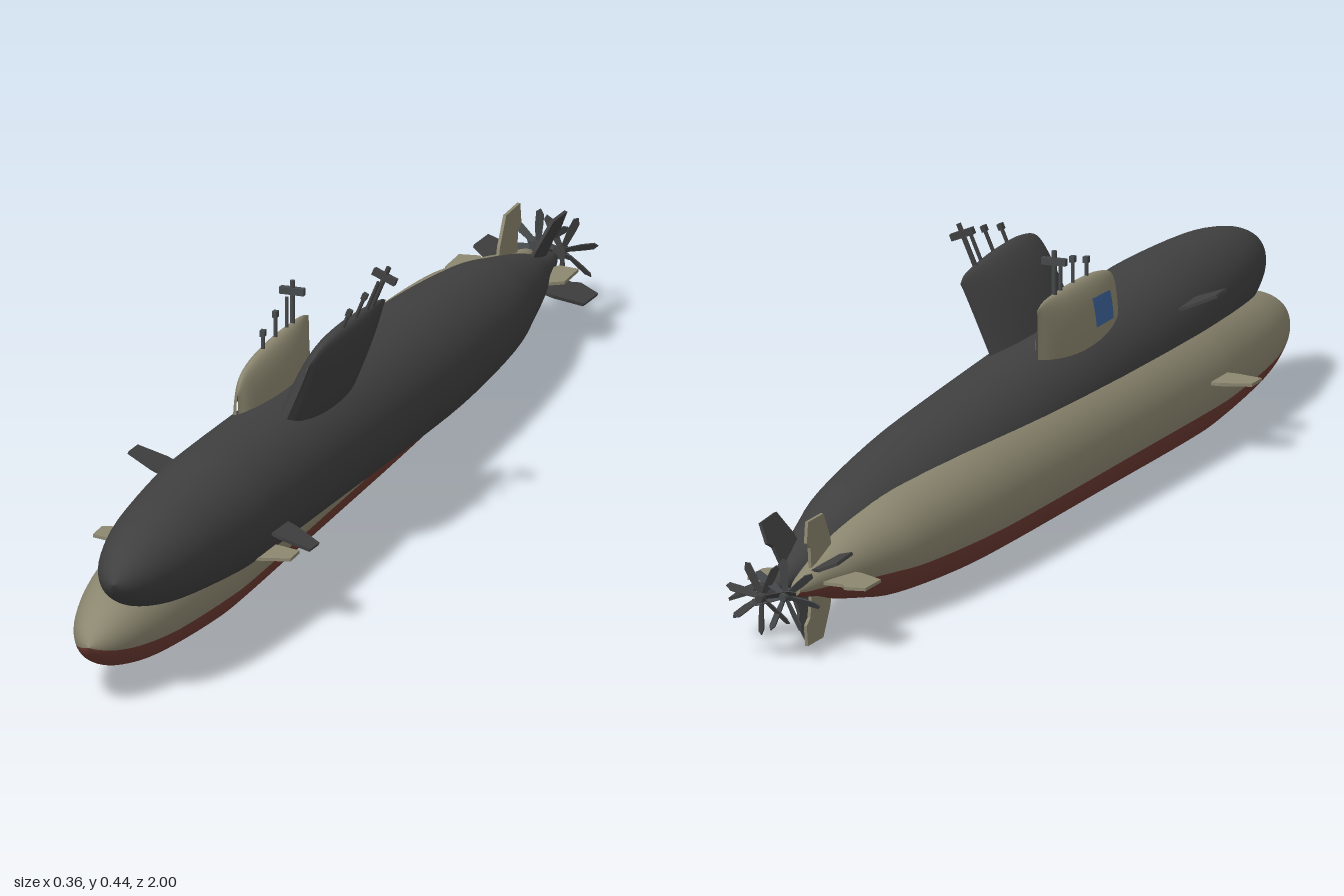
import * as THREE from 'three';

const mat = (name, color, side = THREE.FrontSide) => {
  const m = new THREE.MeshStandardMaterial({ color, side });
  m.name = name;
  return m;
};

// Surface grid from fn(u, v) -> [x, y, z]
function surface(fn, nu, nv) {
  const pos = [], idx = [];
  for (let i = 0; i <= nu; i++)
    for (let j = 0; j <= nv; j++) {
      pos.push(...fn(i / nu, j / nv));
      if (i < nu && j < nv) {
        const a = i * (nv + 1) + j, b = a + nv + 1;
        idx.push(a, a + 1, b, a + 1, b + 1, b);
      }
    }
  const g = new THREE.BufferGeometry();
  g.setAttribute('position', new THREE.Float32BufferAttribute(pos, 3));
  g.setIndex(idx);
  g.computeVertexNormals();
  return g;
}

// Hull radius from stern to bow: [radius, z]
const hullProfile = new THREE.SplineCurve([
  [0.008, -0.945], [0.016, -0.92], [0.028, -0.86], [0.045, -0.8], [0.066, -0.7], [0.083, -0.6],
  [0.097, -0.4], [0.101, -0.2], [0.101, 0.2], [0.101, 0.5], [0.097, 0.62], [0.08, 0.8],
  [0.06, 0.9], [0.04, 0.955], [0.02, 0.985], [0, 1],
].map(([r, z]) => new THREE.Vector2(r, z))).getPoints(60)
  .map((p) => new THREE.Vector2(Math.max(p.x, 0), p.y));

// Angle zero is the keel
const hullPart = (start, length) =>
  new THREE.LatheGeometry(hullProfile, 36, start, length).rotateX(Math.PI / 2);

// Sail stations: half width, top height, z
const sailLine = new THREE.CatmullRomCurve3([
  [0.002, 0.195, 0.343], [0.015, 0.218, 0.325], [0.025, 0.23, 0.28], [0.03, 0.235, 0.2],
  [0.025, 0.234, 0.11], [0.013, 0.23, 0.055], [0.002, 0.222, 0.03],
].map((p) => new THREE.Vector3(...p)));
const SAIL_BASE = 0.07;
function sailPoint(u, t, offset = 0) {
  const s = sailLine.getPoint(u), a = t * Math.PI / 2;
  const rise = Math.pow(Math.max(Math.cos(a), 0), 0.6);
  return [(s.x + offset) * Math.sin(a), SAIL_BASE + (s.y - SAIL_BASE) * rise, s.z];
}

// Thin fin lying flat, from [span, z] corners
function finGeometry(corners) {
  const shape = new THREE.Shape(corners.map((p) => new THREE.Vector2(...p)));
  const g = new THREE.ExtrudeGeometry(shape, { depth: 0.005, bevelEnabled: false });
  return g.translate(0, 0, -0.0025).rotateX(Math.PI / 2);
}

function submarine(name, body, belly, metal, panel) {
  const sub = new THREE.Group();
  sub.name = name;
  const add = (part, geometry, material, parent = sub) => {
    const mesh = new THREE.Mesh(geometry, material);
    mesh.name = part;
    parent.add(mesh);
    return mesh;
  };

  // Hull, split at the waterline
  const split = 1.25;
  add('upperHull', hullPart(split, Math.PI * 2 - split * 2), body);
  add('lowerHull', hullPart(-split, split * 2), belly);
  add('sternCap', new THREE.CircleGeometry(0.008, 16).rotateY(Math.PI).translate(0, 0, -0.945), body);

  // Sail and side panel
  add('sail', surface((u, v) => sailPoint(u, v * 2 - 1), 30, 24), body);
  if (panel)
    add('sailPanel', surface((u, v) => sailPoint(0.333 + u * 0.167, -0.76 + v * 0.27, 0.002), 5, 5), panel);

  // Masts, the aft one with a crossbar
  for (const [z, top, r] of [[0.23, 0.262, 0.003], [0.175, 0.275, 0.003], [0.125, 0.283, 0.003], [0.1, 0.302, 0.004]])
    add('mast', new THREE.CylinderGeometry(r, r, top - 0.21, 10).translate(0, (top + 0.21) / 2, z), metal);
  add('mastCrossbar', new THREE.BoxGeometry(0.04, 0.011, 0.01).translate(0, 0.285, 0.1), metal);
  for (const [z, top] of [[0.23, 0.262], [0.175, 0.275]])
    add('mastHead', new THREE.BoxGeometry(0.008, 0.01, 0.01).translate(0, top - 0.003, z), metal);

  // Bow planes
  const bowPlane = finGeometry([[0.07, 0.49], [0.115, 0.49], [0.162, 0.505], [0.162, 0.545], [0.115, 0.558], [0.07, 0.558]]);
  for (const angle of [0, Math.PI]) {
    const plane = add('bowPlane', bowPlane, body);
    plane.position.y = 0.013;
    plane.rotation.z = angle;
  }

  // Cross of tail fins
  const tailFin = finGeometry([[0.01, -0.885], [0.055, -0.89], [0.065, -0.905], [0.098, -0.9], [0.098, -0.838], [0.055, -0.81], [0.02, -0.8]]);
  for (let i = 0; i < 4; i++)
    add('tailFin', tailFin, body).rotation.z = i * Math.PI / 2;

  // Seven-bladed propeller
  const propeller = new THREE.Group();
  propeller.name = 'propeller';
  propeller.position.z = -0.986;
  sub.add(propeller);
  add('propellerHub', new THREE.CylinderGeometry(0.011, 0.006, 0.026, 14).rotateX(Math.PI / 2), metal, propeller);
  const bladeShape = new THREE.Shape([
    [-0.004, 0.005], [0.004, 0.005], [0.008, 0.035], [0.009, 0.05], [0.004, 0.06], [-0.003, 0.056], [-0.005, 0.035],
  ].map((p) => new THREE.Vector2(...p)));
  const blade = new THREE.ExtrudeGeometry(bladeShape, { depth: 0.002, bevelEnabled: false })
    .translate(0, 0, -0.001).rotateY(0.6);
  for (let i = 0; i < 7; i++)
    add('propellerBlade', blade, metal, propeller).rotation.z = i * Math.PI * 2 / 7;
  return sub;
}

export function createModel() {
  const olive = mat('olive', 0x8c8770);
  const red = mat('hullRed', 0x703c33);
  const dark = mat('darkGrey', 0x404040);
  const metal = mat('mastGrey', 0x46494b);
  const blue = mat('blue', 0x3d6499, THREE.DoubleSide);

  const model = new THREE.Group();
  model.name = 'submarines';

  // Level submarine
  const level = submarine('oliveSubmarine', olive, red, metal, blue);
  level.position.set(-0.016, 0.102, 0);

  // Rolled submarine with raised bow
  const rolled = submarine('darkSubmarine', dark, dark, dark, null);
  rolled.position.set(0.022, 0.152, -0.004);
  rolled.rotation.set(-0.055, 0, -0.383);

  model.add(level, rolled);
  return model;
}
